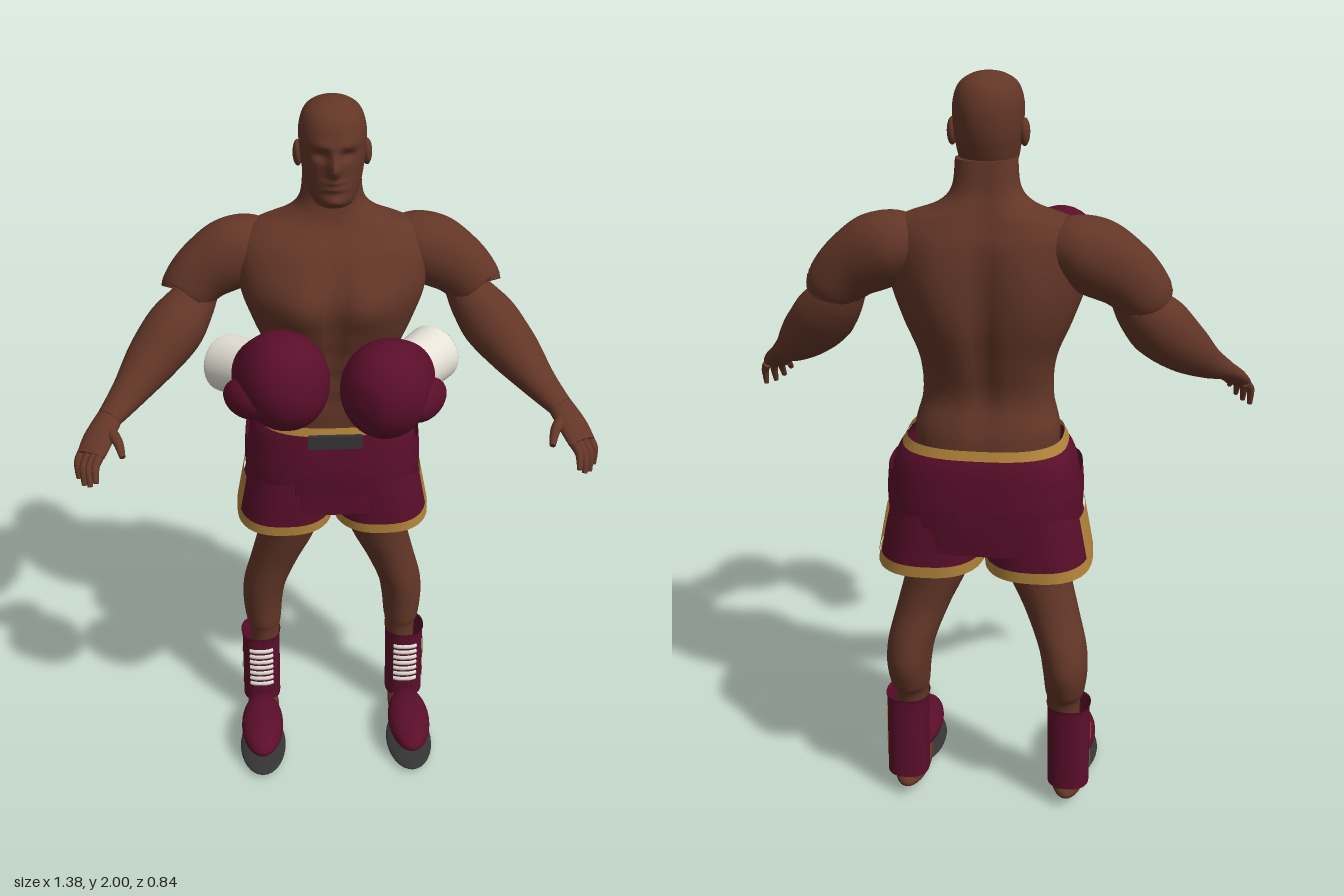
import * as THREE from 'three';

const V = (x, y, z) => new THREE.Vector3(x, y, z);
const paint = (name, color, side = THREE.FrontSide) => {
  const m = new THREE.MeshStandardMaterial({ color, side });
  m.name = name;
  return m;
};
const DEG = Math.PI / 180;
const bump = (d, s) => Math.exp(-(d * d) / (s * s));

// Catmull-Rom smoothing of rows of numbers
function smooth(rows, steps) {
  if (steps === 1) return rows;
  const out = [], last = rows.length - 1;
  for (let i = 0; i < last; i++) {
    const [a, b, c, d] = [rows[Math.max(i - 1, 0)], rows[i], rows[i + 1], rows[Math.min(i + 2, last)]];
    for (let k = 0; k < steps; k++) {
      const t = k / steps;
      out.push(b.map((v, j) => v + 0.5 * t * (c[j] - a[j] +
        t * (2 * a[j] - 5 * v + 4 * c[j] - d[j] + t * (3 * (v - c[j]) + d[j] - a[j])))));
    }
  }
  out.push(rows[last]);
  return out;
}

// Surface through rings of points, with optional flat ends
function skin(rings, closed, cap) {
  if (cap) {
    const flat = r => {
      const c = r.reduce((s, p) => s.add(p), V(0, 0, 0)).divideScalar(r.length);
      return r.map(() => c.clone());
    };
    const a = rings[0], b = rings[rings.length - 1];
    rings = [flat(a), a, ...rings, b, flat(b)];
  }
  const n = rings[0].length, index = [];
  for (let i = 0; i < rings.length - 1; i++) {
    for (let j = 0; j < (closed ? n : n - 1); j++) {
      const k = (j + 1) % n, a = i * n + j, c = i * n + k;
      index.push(a, a + n, c, a + n, c + n, c);
    }
  }
  const g = new THREE.BufferGeometry().setFromPoints(rings.flat());
  g.setIndex(index);
  g.computeVertexNormals();
  return g;
}

// Stack of level rings; rows are [y, centreX, halfWidth, frontZ, backZ], rising
function loft(rows, { n = 2, steps = 6, seg = 40, from = 0, to = 360, cap = false, shape } = {}) {
  const closed = to - from >= 360;
  const sp = v => Math.sign(v) * Math.abs(v) ** (2 / n);
  const rings = smooth(rows, steps).map(([y, cx, w, zf, zb]) =>
    Array.from({ length: closed ? seg : seg + 1 }, (_, j) => {
      const t = (from + (to - from) * j / seg) * DEG;
      const p = V(cx + w * sp(Math.cos(t)), y, (zf + zb) / 2 + (zf - zb) / 2 * sp(Math.sin(t)));
      if (shape) shape(p, Math.sin(t));
      return p;
    }));
  return skin(rings, closed, cap);
}

// Limb along a path; rows are [x, y, z, radiusAcross, radiusUp]
function limb(rows, steps = 6, seg = 24) {
  const pts = smooth(rows, steps);
  const at = i => V(...pts[Math.min(Math.max(i, 0), pts.length - 1)].slice(0, 3));
  return skin(pts.map(([, , , a, b], i) => {
    const t = at(i + 1).sub(at(i - 1)).normalize();
    const u = V(0, 1, 0).cross(t).normalize(), v = u.clone().cross(t);
    return Array.from({ length: seg }, (_, j) => {
      const q = j / seg * 2 * Math.PI;
      return at(i).addScaledVector(u, a * Math.cos(q)).addScaledVector(v, b * Math.sin(q));
    });
  }), true, true);
}

const grow = (rows, d) => rows.map(([y, cx, w, f, b]) => [y, cx, w + d, f + d, b - d]);

export function createModel() {
  const model = new THREE.Group();
  const skinTone = paint('brown skin', 0x633627);
  const maroon = paint('maroon cloth', 0x5a0e2a, THREE.DoubleSide);
  const gold = paint('gold trim', 0xb0823a, THREE.DoubleSide);
  const white = paint('off white', 0xe6e2d8, THREE.DoubleSide);
  const dark = paint('dark rubber', 0x343434);

  const add = (name, geo, mat, parent = model) => {
    const m = new THREE.Mesh(geo, mat);
    m.name = name;
    parent.add(m);
    return m;
  };
  const ball = (name, mat, pos, size, parent) => {
    const m = add(name, new THREE.SphereGeometry(1, 32, 20), mat, parent);
    m.position.set(...pos);
    m.scale.set(...size);
    return m;
  };

  // Torso with chest, belly and spine relief
  add('torso', loft([
    [0.93, 0, 0.17, -0.09, -0.32], [1.1, 0, 0.188, -0.085, -0.315], [1.2, 0, 0.168, -0.08, -0.29],
    [1.3, 0, 0.175, -0.065, -0.312], [1.4, 0, 0.215, -0.042, -0.335], [1.5, 0, 0.248, -0.035, -0.338],
    [1.6, 0, 0.25, -0.075, -0.33], [1.655, 0, 0.215, -0.12, -0.31], [1.69, 0, 0.125, -0.14, -0.295],
    [1.73, 0, 0.085, -0.15, -0.28], [1.8, 0, 0.076, -0.15, -0.27],
  ], {
    n: 2.3, seg: 72, cap: true, shape: (p, s) => {
      const ax = Math.abs(p.x);
      if (s > 0) {
        p.z += s * (0.026 * bump(ax - 0.09, 0.07) * bump(p.y - 1.48, 0.075)
          - 0.012 * bump(p.x, 0.015) * bump(p.y - 1.4, 0.2)
          + 0.006 * bump(ax - 0.045, 0.03) * Math.cos((p.y - 1.3) * 80) * bump(p.y - 1.25, 0.1));
      } else {
        p.z -= s * (0.022 * bump(p.x, 0.03) * bump(p.y - 1.4, 0.26)
          - 0.016 * bump(ax - 0.12, 0.06) * bump(p.y - 1.5, 0.12));
      }
    },
  }), skinTone);

  // Head with facial relief
  add('head', loft([
    [1.735, 0, 0.025, -0.1, -0.15], [1.75, 0, 0.05, -0.072, -0.2], [1.78, 0, 0.068, -0.065, -0.25],
    [1.83, 0, 0.079, -0.063, -0.274], [1.88, 0, 0.085, -0.06, -0.285], [1.93, 0, 0.085, -0.063, -0.283],
    [1.97, 0, 0.071, -0.085, -0.263], [1.992, 0, 0.04, -0.125, -0.225], [2, 0, 0.003, -0.17, -0.176],
  ], {
    n: 2.2, seg: 96, steps: 9, cap: true, shape: (p, s) => {
      if (s <= 0) return;
      const ax = Math.abs(p.x);
      p.z += s * (0.032 * bump(p.x, 0.014) * bump(p.y - 1.85, 0.022)
        + 0.012 * bump(p.x, 0.012) * bump(p.y - 1.88, 0.02)
        + 0.007 * bump(ax - 0.03, 0.035) * bump(p.y - 1.908, 0.012)
        - 0.014 * bump(ax - 0.034, 0.02) * bump(p.y - 1.882, 0.013)
        + 0.009 * bump(p.x, 0.028) * (bump(p.y - 1.815, 0.007) + bump(p.y - 1.798, 0.007))
        + 0.01 * bump(p.x, 0.03) * bump(p.y - 1.765, 0.014));
    },
  }), skinTone);

  // Shorts: hips, waistband, belt plate, front panel
  const hips = [[0.83, 0, 0.262, -0.062, -0.403], [0.92, 0, 0.249, -0.06, -0.41],
    [1.0, 0, 0.242, -0.06, -0.41], [1.06, 0, 0.228, -0.062, -0.405], [1.095, 0, 0.205, -0.066, -0.395]];
  add('shortsHips', loft(hips, { n: 2.7, seg: 64 }), maroon);
  add('waistband', loft([[1.088, 0, 0.212, -0.062, -0.4], [1.112, 0, 0.2, -0.068, -0.393]],
    { n: 2.7, seg: 64, steps: 1 }), gold);
  const flap = [[0.9, 0, 0.25, -0.052, -0.414], [0.96, 0, 0.253, -0.05, -0.418], [1.03, 0, 0.248, -0.053, -0.415]];
  add('frontPanel', loft([[0.9, 0, 0.25, -0.05, -0.41], [0.98, 0, 0.25, -0.044, -0.41], [1.085, 0, 0.24, -0.052, -0.4]],
    { n: 2.7, from: 70, to: 110, seg: 20 }), maroon);
  add('beltPlate', new THREE.BoxGeometry(0.15, 0.04, 0.012), dark).position.set(0, 1.08, -0.047);

  for (const s of [1, -1]) {
    const side = s > 0 ? 'left' : 'right';
    const g = new THREE.Group();
    g.name = side + 'Side';
    model.add(g);
    const out = s > 0 ? 0 : 180;
    const mx = rows => rows.map(([y, x, ...r]) => [y, x * s, ...r]);
    const mp = rows => rows.map(([x, ...r]) => [x * s, ...r]);

    ball('ear', skinTone, [s * 0.088, 1.857, -0.178], [0.013, 0.034, 0.022], g);

    // Arm
    add('upperArm', limb(mp([[0.16, 1.595, -0.235, 0.06, 0.06], [0.22, 1.588, -0.232, 0.09, 0.085],
      [0.275, 1.565, -0.225, 0.09, 0.096], [0.34, 1.525, -0.217, 0.078, 0.085],
      [0.385, 1.48, -0.21, 0.072, 0.075], [0.392, 1.47, -0.207, 0.066, 0.068]])), skinTone, g);
    add('forearm', limb(mp([[0.35, 1.475, -0.215, 0.05, 0.05], [0.385, 1.43, -0.195, 0.068, 0.068],
      [0.43, 1.378, -0.16, 0.08, 0.08], [0.49, 1.315, -0.11, 0.072, 0.068],
      [0.55, 1.255, -0.04, 0.05, 0.045], [0.6, 1.215, 0.025, 0.036, 0.028]])), skinTone, g);
    add('palm', limb(mp([[0.595, 1.22, 0.015, 0.035, 0.027], [0.625, 1.185, 0.07, 0.042, 0.023],
      [0.645, 1.155, 0.112, 0.04, 0.016]])), skinTone, g);
    for (let i = 0; i < 4; i++) {
      const k = i / 3, L = THREE.MathUtils.lerp, mid = 0.012 * Math.sin(k * Math.PI);
      const [x0, z0] = [L(0.62, 0.668, k), L(0.115, 0.088, k) + mid];
      const [x1, y1, z1] = [L(0.628, 0.682, k), L(1.115, 1.088, k) - mid, L(0.188, 0.115, k) + mid];
      add('finger', limb(mp([[x0, 1.155, z0, 0.012, 0.012],
        [(x0 + x1) / 2 + 0.006, (1.155 + y1) / 2 + 0.01, (z0 + z1) / 2 + 0.005, 0.011, 0.011],
        [x1, y1, z1, 0.007, 0.007]]), 4, 10), skinTone, g);
    }
    add('thumb', limb(mp([[0.605, 1.2, 0.05, 0.017, 0.017], [0.575, 1.188, 0.1, 0.014, 0.014],
      [0.56, 1.165, 0.145, 0.008, 0.008]]), 4, 10), skinTone, g);

    // Leg and foot
    add('leg', loft(mx([[0.05, 0.222, 0.042, -0.165, -0.27], [0.3, 0.212, 0.044, -0.165, -0.27],
      [0.36, 0.215, 0.054, -0.156, -0.3], [0.43, 0.215, 0.061, -0.15, -0.322], [0.5, 0.205, 0.065, -0.142, -0.316],
      [0.6, 0.173, 0.072, -0.13, -0.292], [0.7, 0.138, 0.084, -0.107, -0.29],
      [0.8, 0.12, 0.097, -0.087, -0.3], [0.96, 0.1, 0.098, -0.09, -0.31]]), { cap: true }), skinTone, g);
    ball('foot', skinTone, [s * 0.225, 0.042, -0.15], [0.05, 0.034, 0.135], g);

    // Shorts leg with hem, side panel and hip flap
    const short = mx([[0.765, 0.141, 0.137, -0.066, -0.4], [0.86, 0.131, 0.129, -0.064, -0.4],
      [0.93, 0.122, 0.12, -0.066, -0.4]]);
    add('shortsLeg', loft(short, { n: 2.5 }), maroon, g);
    add('hem', loft(mx([[0.762, 0.141, 0.141, -0.062, -0.404], [0.792, 0.138, 0.138, -0.061, -0.404]]),
      { n: 2.5, steps: 1 }), gold, g);
    add('sidePanel', loft(grow(mx([[0.785, 0.139, 0.135, -0.066, -0.4], [0.91, 0.126, 0.124, -0.064, -0.4]]), 0.007),
      { n: 2.5, steps: 1, from: out - 22, to: out + 22, seg: 12 }), gold, g);
    add('hipFlap', loft(flap, { n: 2.7, from: s > 0 ? -84 : 120, to: s > 0 ? 60 : 264 }), maroon, g);

    // Boot with laces and stripe
    const boot = (y, d = 0) => [y, s * (0.228 - 0.01 * (y - 0.06)), 0.058 + d, -0.155 + d, -0.275 - d];
    add('bootShaft', loft([boot(0.06), boot(0.2), boot(0.29), boot(0.31, 0.003)], { n: 2.4 }), maroon, g);
    for (let i = 0; i < 7; i++) {
      const y = 0.125 + i * 0.0215;
      add('lace', loft([boot(y, 0.002), boot(y + 0.008, 0.006), boot(y + 0.016, 0.002)],
        { n: 2.4, from: 58, to: 122, seg: 12, steps: 2 }), white, g);
    }
    add('bootStripe', loft([boot(0.09, 0.003), boot(0.25, 0.003)],
      { n: 2.4, from: out - 5, to: out + 5, seg: 4, steps: 1 }), gold, g);
    ball('bootToe', maroon, [s * 0.228, 0.083, -0.022], [0.064, 0.043, 0.138], g);
    ball('sole', dark, [s * 0.228, 0.016, -0.005], [0.07, 0.016, 0.137], g);

    // Floating glove, built along +z and then aimed
    const glove = new THREE.Group();
    glove.name = side + 'Glove';
    g.add(glove);
    add('gloveFist', limb([[0, 0, -0.11, 0.062, 0.066], [0, 0, -0.085, 0.075, 0.085], [0, 0, -0.03, 0.1, 0.115],
      [0, 0, 0.025, 0.108, 0.122], [0, 0, 0.075, 0.092, 0.104], [0, 0, 0.11, 0.055, 0.062],
      [0, 0, 0.122, 0.003, 0.003]], 6, 36), maroon, glove);
    ball('gloveThumb', maroon, [s * 0.078, -0.03, -0.035], [0.042, 0.05, 0.075], glove);
    add('gloveCuff', limb([[0, 0, -0.2, 0.07, 0.07], [0, 0, -0.19, 0.073, 0.073], [0, 0, -0.09, 0.067, 0.069]], 4, 32),
      white, glove);
    const [c, from] = s > 0 ? [V(0.112, 1.437, 0.3), V(0.235, 1.447, 0.145)]
      : [V(-0.15, 1.458, 0.29), V(-0.285, 1.43, 0.135)];
    glove.position.copy(c);
    glove.quaternion.setFromRotationMatrix(new THREE.Matrix4().lookAt(c, from, V(0, 1, 0)));
  }
  return model;
}
